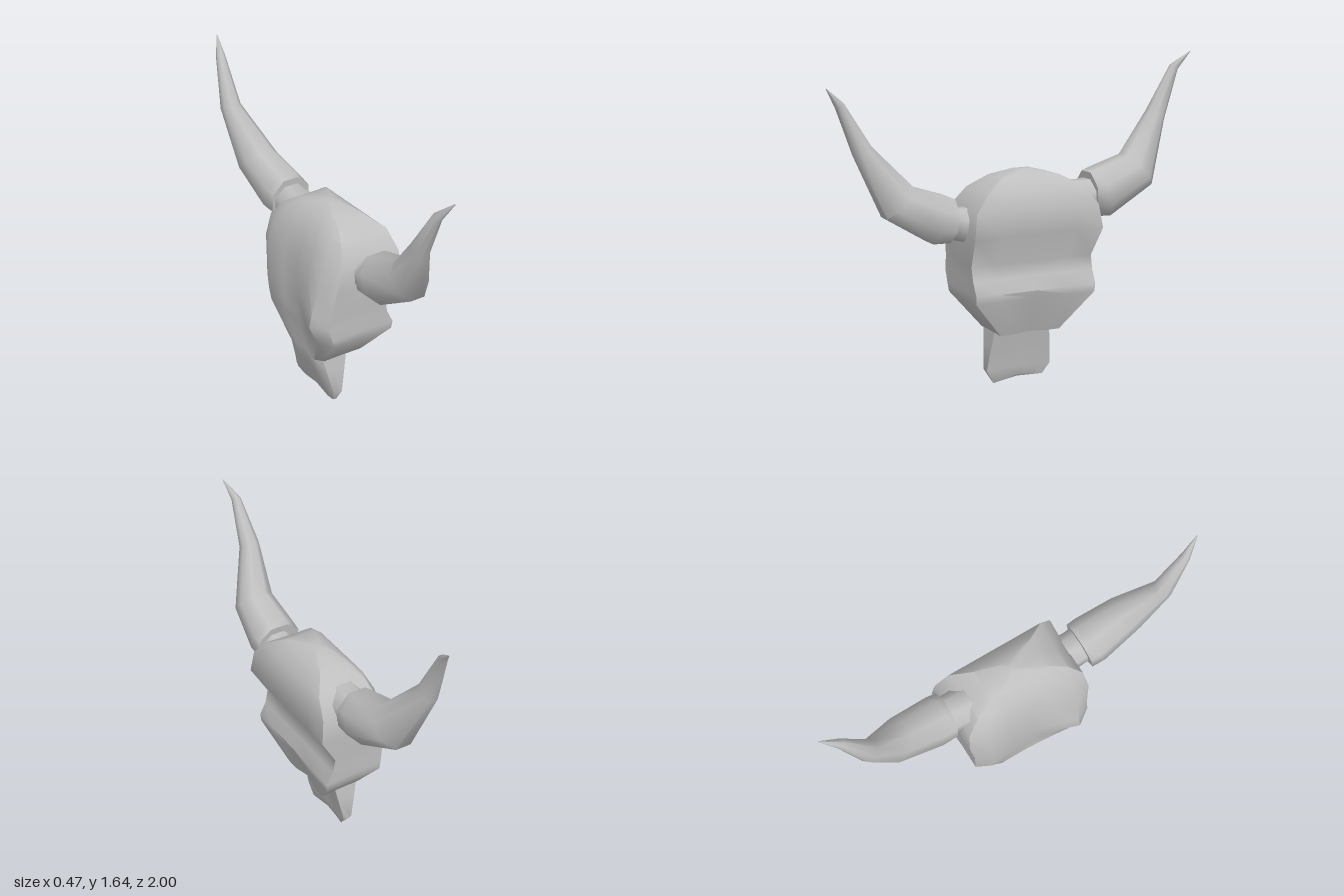
import * as THREE from 'three';
import { toCreasedNormals } from 'three/addons/utils/BufferGeometryUtils.js';

const V = (x, y, z) => new THREE.Vector3(x, y, z);

// Closed skin over a list of equal-length rings, capped at both ends
function loft(rings, crease) {
  const n = rings[0].length, pts = rings.flat(), tris = [];
  for (let r = 0; r < rings.length - 1; r++) {
    for (let i = 0; i < n; i++) {
      const a = r * n + i, b = r * n + (i + 1) % n;
      tris.push([a, b, b + n], [a, b + n, a + n]);
    }
  }
  const cap = (r, flip) => {
    const c = rings[r].reduce((s, p) => s.add(p), V(0, 0, 0)).divideScalar(n);
    const k = pts.push(c) - 1;
    for (let i = 0; i < n; i++) {
      const a = r * n + i, b = r * n + (i + 1) % n;
      tris.push(flip ? [k, b, a] : [k, a, b]);
    }
  };
  cap(0, true);
  cap(rings.length - 1, false);
  // Keep the skin facing outward whichever way the rings run
  const volume = tris.reduce((s, [a, b, c]) =>
    s + pts[a].dot(V(0, 0, 0).crossVectors(pts[b], pts[c])), 0);
  if (volume < 0) tris.forEach((t) => t.reverse());
  const g = new THREE.BufferGeometry().setFromPoints(pts);
  g.setIndex(tris.flat());
  return toCreasedNormals(g, crease);
}

// One horizontal slice of the skull; the brow bulges more on the +z side
function skullRing([y, back, w, front, mid, backMid, right]) {
  const side = (s, f) => [
    [back, 0.6 * w * s], [back, w * s], [(back + f) / 2, 0.97 * w * s],
    [f * 0.75, 0.97 * w * s], [f, 0.72 * w * s], [f * 0.55 + mid * 0.45, 0.35 * w * s],
  ];
  const loop = [[backMid, 0], ...side(1, front), [mid, 0], ...side(-1, right).reverse()];
  // The lowest slice has a notch between the two nose tips
  return loop.map(([x, z]) =>
    V(x, y === 0 ? 0.03 * (1 - Math.abs(z) / w) + (z < 0 ? 0.015 : 0) : y, z));
}

// Tapered tube along a path in the y-z plane: [z, y, x, radius, x radius]
function hornGeometry(path, sides = 8) {
  const rings = path.map(([z, y, x, r, rx], i) => {
    const p = path[Math.max(i - 1, 0)], q = path[Math.min(i + 1, path.length - 1)];
    const t = V(0, q[1] - p[1], q[0] - p[0]).normalize();
    return Array.from({ length: sides }, (_, k) => {
      const a = ((k + 0.5) / sides) * Math.PI * 2, s = r * Math.sin(a);
      return V(x + rx * Math.cos(a), y + t.z * s, z - t.y * s);
    });
  });
  return loft(rings, 1.0);
}

export function createModel() {
  const group = new THREE.Group();
  const bone = new THREE.MeshStandardMaterial({ color: 0xbfbfbf });
  bone.name = 'bone grey';
  const add = (name, geometry) => {
    const m = new THREE.Mesh(geometry, bone);
    m.name = name;
    group.add(m);
  };

  // Skull slices: [y, back x, half width, brow x (+z), face centre x, back centre x, brow x (-z)]
  const slices = [
    [0, -0.008, 0.14, -0.035, -0.035, -0.01, -0.035],
    [0.07, 0, 0.18, -0.065, -0.06, -0.005, -0.065],
    [0.2, 0.025, 0.165, -0.105, -0.1, 0.015, -0.1],
    [0.279, 0.04, 0.155, -0.13, -0.12, 0.03, -0.12],
    [0.281, 0.125, 0.165, -0.13, -0.12, 0.1, -0.12],
    [0.47, 0.195, 0.328, -0.195, -0.15, 0.18, -0.16],
    [0.51, 0.2, 0.331, -0.21, -0.15, 0.195, -0.165],
    [0.58, 0.165, 0.332, -0.24, -0.15, 0.165, -0.172],
    [0.65, 0.15, 0.333, -0.225, -0.15, 0.15, -0.172],
    [0.8, 0.235, 0.352, -0.19, -0.15, 0.235, -0.16],
    [0.92, 0.22, 0.335, -0.14, -0.125, 0.22, -0.13],
    [1.01, 0.2, 0.265, -0.09, -0.09, 0.2, -0.09],
    [1.07, 0.13, 0.16, -0.035, -0.035, 0.13, -0.035],
    [1.1, 0.08, 0.04, 0.02, 0.02, 0.08, 0.02],
  ];
  add('skull', loft(slices.map(skullRing), 0.75));

  // Horn cores joining the horns to the skull
  add('leftHornCore', hornGeometry([
    [0.24, 0.84, 0.05, 0.1, 0.1], [0.36, 0.85, 0.05, 0.085, 0.095], [0.43, 0.87, 0.05, 0.085, 0.095]]));
  add('rightHornCore', hornGeometry([
    [-0.24, 0.92, 0.05, 0.11, 0.11], [-0.33, 0.93, 0.05, 0.095, 0.1], [-0.42, 0.94, 0.05, 0.095, 0.1]]));

  // Curved horns, the -z one set a little higher
  add('leftHorn', hornGeometry([
    [0.4, 0.872, 0.04, 0.115, 0.125], [0.46, 0.88, 0.04, 0.13, 0.128],
    [0.665, 0.978, 0.035, 0.108, 0.102], [0.815, 1.225, -0.03, 0.05, 0.052],
    [0.925, 1.445, -0.022, 0.024, 0.024], [1, 1.53, 0.01, 0.002, 0.002]]));
  add('rightHorn', hornGeometry([
    [-0.367, 0.945, 0.05, 0.122, 0.118], [-0.435, 0.95, 0.05, 0.138, 0.122],
    [-0.66, 1.048, 0.035, 0.118, 0.105], [-0.815, 1.315, -0.03, 0.054, 0.054],
    [-0.92, 1.56, -0.02, 0.024, 0.024], [-1, 1.64, 0.01, 0.002, 0.002]]));

  return group;
}
